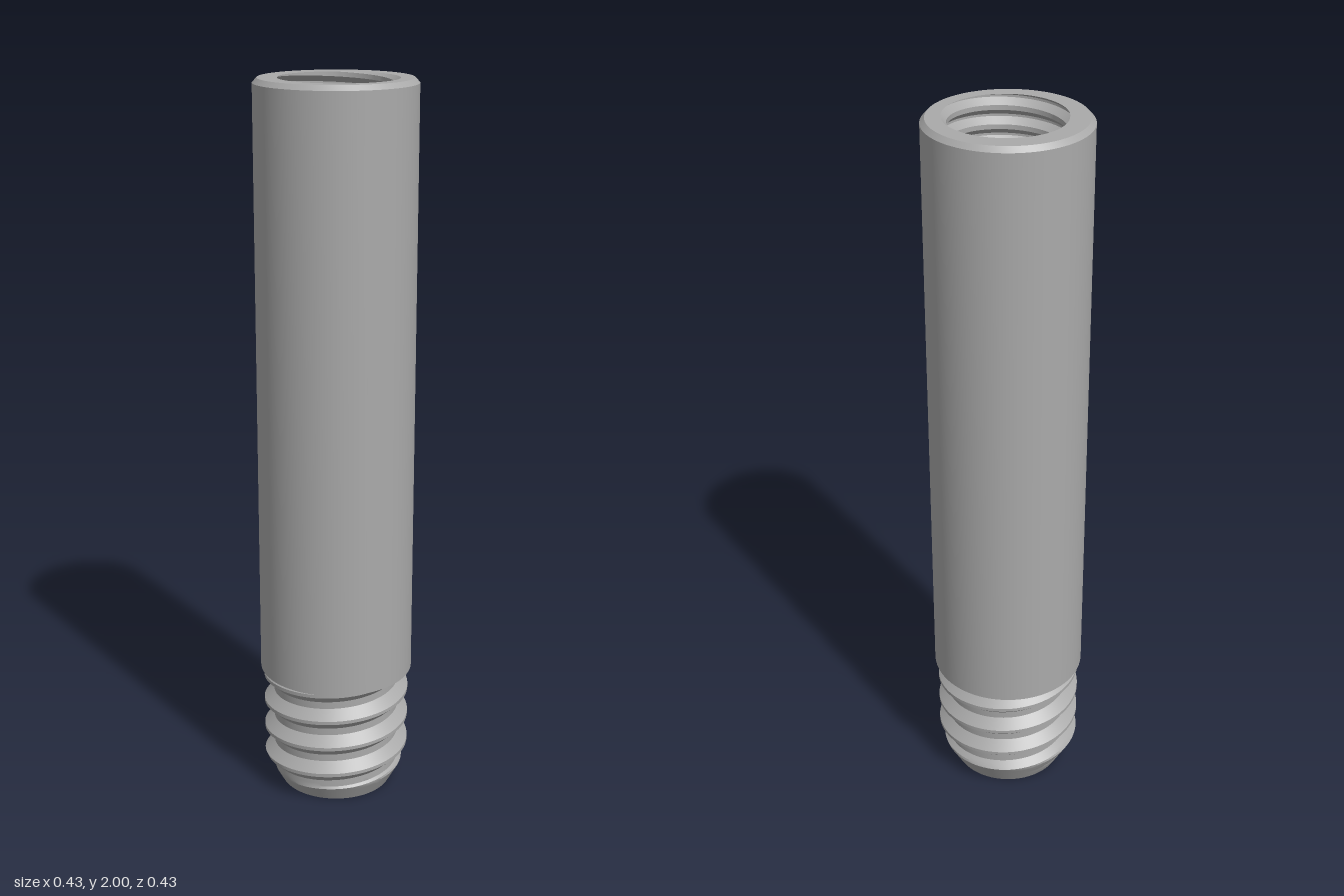
import * as THREE from 'three';
import { toCreasedNormals } from 'three/addons/utils/BufferGeometryUtils.js';

const SEG = 96;
const TAU = Math.PI * 2;
const clamp = THREE.MathUtils.clamp;

// Surface swept around the y axis from a rule (angle, row) -> [radius, y]
function sweep(rule, rows) {
  const pos = [];
  const at = (i, row) => {
    const a = (i / SEG) * TAU;
    const [r, y] = rule(a, row);
    const b = ((i % SEG) / SEG) * TAU;
    return new THREE.Vector3(r * Math.cos(b), y, r * Math.sin(b));
  };
  const tri = (a, b, c) => {
    const area = b.clone().sub(a).cross(c.clone().sub(a)).length();
    if (area > 1e-8) for (const p of [a, b, c]) pos.push(p.x, p.y, p.z);
  };
  for (let i = 0; i < SEG; i++) {
    for (let j = 0; j + 1 < rows.length; j++) {
      const a = at(i, rows[j]), b = at(i, rows[j + 1]);
      const c = at(i + 1, rows[j + 1]), d = at(i + 1, rows[j]);
      tri(a, b, c);
      tri(a, c, d);
    }
  }
  const geo = new THREE.BufferGeometry();
  geo.setAttribute('position', new THREE.Float32BufferAttribute(pos, 3));
  return toCreasedNormals(geo, 0.45);
}

// Right-handed thread: radius and row positions for a truncated V profile
function makeThread({ y0, pitch, base, peak, lo, hi, limit = () => Infinity }) {
  const radius = (a, y) => {
    const t = (y - y0) / pitch + a / TAU;
    const d = Math.abs(t - Math.round(t));
    const h = clamp((0.375 - d) / (0.375 - 0.06), 0, 1);
    return Math.min(base + (peak - base) * h, limit(y));
  };
  const rows = [];
  const first = Math.floor((lo - y0) / pitch) - 1;
  const last = Math.ceil((hi - y0) / pitch) + 2;
  for (let k = first; k <= last; k++)
    for (const f of [-0.06, 0.06, 0.14, 0.22, 0.3, 0.375, 0.5, 0.625, 0.7, 0.78, 0.86])
      rows.push(y0 + (k + f) * pitch);
  const rule = (a, row) => {
    const y = clamp(row - (pitch * a) / TAU, lo, hi);
    return [radius(a, y), y];
  };
  return { radius, rows, rule };
}

function lathe(points) {
  const geo = new THREE.LatheGeometry(points.map(p => new THREE.Vector2(...p)), SEG);
  return toCreasedNormals(geo, 0.45);
}

export function createModel() {
  const group = new THREE.Group();
  const steel = new THREE.MeshStandardMaterial({ color: 0xaaaaaa });
  steel.name = 'steel grey';
  const add = (name, geo) => {
    const mesh = new THREE.Mesh(geo, steel);
    mesh.name = name;
    group.add(mesh);
  };

  // Outer sleeve: shoulder, straight wall and small top chamfer
  add('sleeve', lathe([[0.17, 0.355], [0.215, 0.355], [0.215, 1.987], [0.203, 2]]));

  // External thread with a tapered lead-in at the bottom
  const male = makeThread({
    y0: 0.215, pitch: 0.082, base: 0.178, peak: 0.206, lo: 0, hi: 0.355,
    limit: y => 0.158 + 0.55 * y,
  });
  add('externalThread', sweep(male.rule, male.rows));

  // Internal thread, cut down from the top face
  const pitch = 0.05;
  const female = makeThread({
    y0: 2 + 0.24 * pitch, pitch, base: 0.15, peak: 0.168, lo: 1.55, hi: 2,
  });
  add('internalThread', sweep(female.rule, female.rows.reverse()));

  // Flat top rim, whose inner edge follows the thread run-out
  add('topRim', sweep((a, inner) => [inner ? female.radius(a, 2) : 0.203, 2], [0, 1]));

  // Socket floor, stepped through-hole and bottom face
  add('bore', lathe([
    [0.17, 1.55], [0.095, 1.55], [0.095, 0.35], [0.08, 0.35], [0.08, 0], [0.158, 0],
  ]));

  return group;
}
